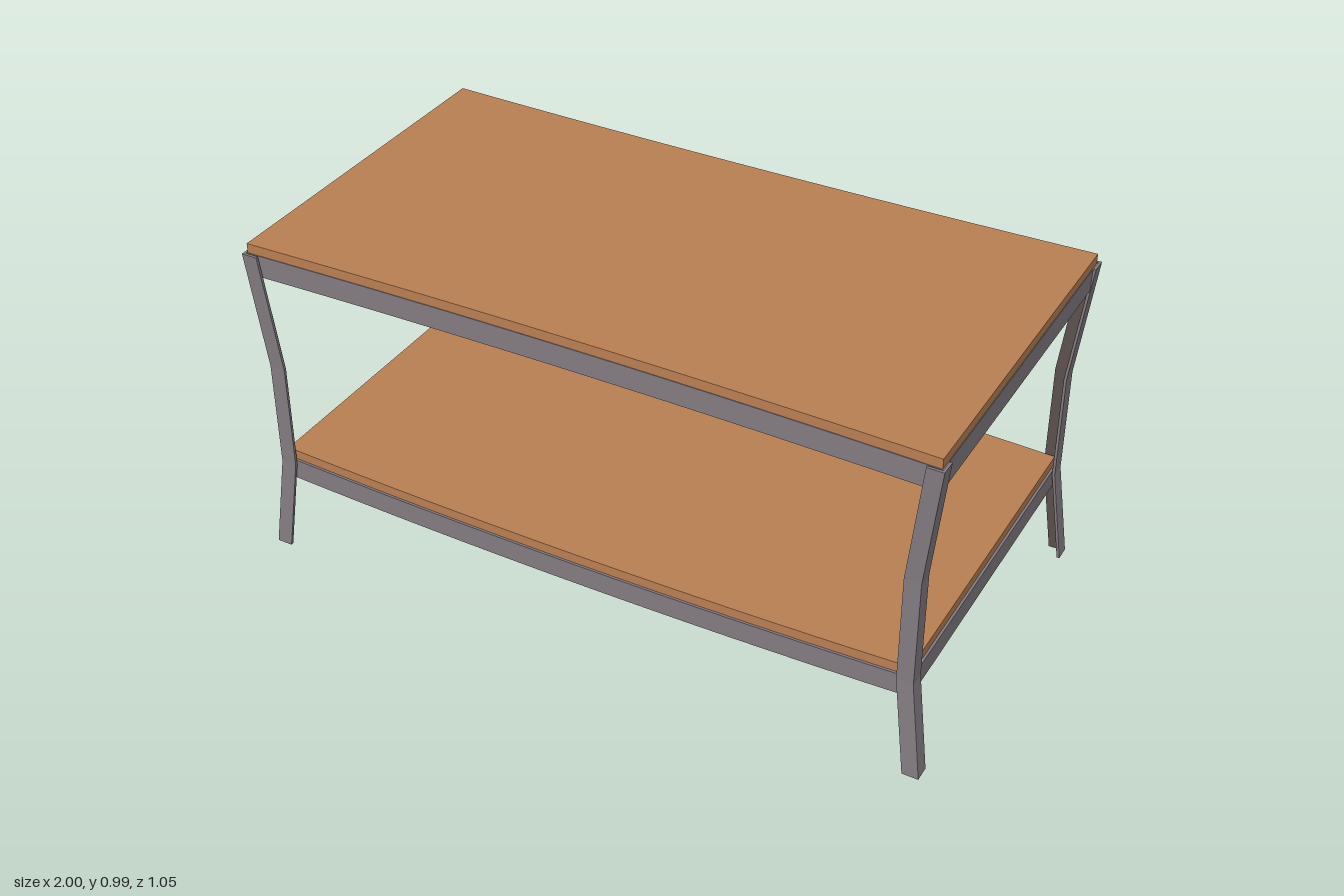
import * as THREE from 'three';

function material(name, color) {
  const m = new THREE.MeshStandardMaterial({ color });
  m.name = name;
  return m;
}
const wood = material('wood', 0xb97f52);
const steel = material('steel', 0x827b81);
const darkSteel = material('darkSteel', 0x5a504d);

const T = 0.008;      // steel thickness
const LIP = 0.004;    // thickness of the flange under the boards
const SKIN = 0.006;   // outer part of the leg steel, the rest is the darker inside
const FLANGE = 0.046; // width of the angle iron

// Shelf outline: straight ends, long sides bowed from endZ to midZ
function outline(halfX, endZ, midZ, inset = 0) {
  const pts = [];
  const n = 16;
  for (const s of [-1, 1]) {
    for (let i = 0; i <= n; i++) {
      const u = (i / n) * 2 - 1;
      const z = midZ + (endZ - midZ) * u * u - inset;
      pts.push(new THREE.Vector2(-s * u * (halfX - inset), s * z));
    }
  }
  return pts;
}

// Upright extrusion of a plan shape from y0 to y1
function slab(points, hole, y0, y1, steps = 1) {
  const shape = new THREE.Shape(points);
  if (hole) shape.holes.push(new THREE.Path(hole));
  const geo = new THREE.ExtrudeGeometry(shape, { depth: y1 - y0, steps, bevelEnabled: false });
  return geo.rotateX(-Math.PI / 2).translate(0, y0, 0);
}

function part(name, geo, mat) {
  const mesh = new THREE.Mesh(geo, mat);
  mesh.name = name;
  return mesh;
}

// Thick board set into an angle-iron tray, resting on the flange at its bottom
function shelf(name, { halfX, endZ, midZ, y0, y1, top, boardInset }) {
  const g = new THREE.Group();
  g.name = name;
  const ring = (inset) => outline(halfX, endZ, midZ, inset);
  g.add(
    part('frameWeb', slab(ring(0), ring(T), y0, y1), steel),
    part('frameFlange', slab(ring(T), ring(FLANGE), y0, y0 + LIP), darkSteel),
    part('board', slab(ring(boardInset), null, y0 + LIP, top), wood)
  );
  return g;
}

// Outer corner of a leg at each bend: y, x, z
const BENDS = [
  [0, 1.0, 0.526],
  [0.29, 0.96, 0.512],
  [0.61, 0.959, 0.512],
  [0.96, 0.996, 0.525],
];

// Bent L-shaped layer between the depths a and b behind the outer faces of a leg
function legLayer(sx, sz, a, b) {
  const L = [[a, a], [FLANGE, a], [FLANGE, b], [b, b], [b, FLANGE], [a, FLANGE]]
    .map(([x, z]) => new THREE.Vector2(-sx * x, sz * z));
  const geo = slab(L, null, 0, 3, 3);
  const p = geo.attributes.position;
  for (let i = 0; i < p.count; i++) {
    const [y, x, z] = BENDS[Math.round(p.getY(i))];
    p.setXYZ(i, p.getX(i) + sx * x, y, p.getZ(i) + sz * z);
  }
  geo.computeVertexNormals();
  return geo;
}

// Angle-iron leg at the corner given by the signs sx, sz
function leg(sx, sz) {
  const g = new THREE.Group();
  g.name = (sz > 0 ? 'front' : 'back') + (sx > 0 ? 'Left' : 'Right') + 'Leg';
  g.add(
    part('legOutside', legLayer(sx, sz, 0, SKIN), steel),
    part('legInside', legLayer(sx, sz, SKIN, T), darkSteel)
  );
  return g;
}

export function createModel() {
  const model = new THREE.Group();
  model.name = 'table';

  // Top curves inward along its long sides, the lower shelf outward
  model.add(
    shelf('tableTop', { halfX: 0.988, endZ: 0.515, midZ: 0.498, y0: 0.895, y1: 0.96, top: 0.988, boardInset: 0.002 }),
    shelf('lowerShelf', { halfX: 0.952, endZ: 0.503, midZ: 0.525, y0: 0.24, y1: 0.302, top: 0.33, boardInset: 0.007 })
  );

  for (const sx of [-1, 1]) for (const sz of [-1, 1]) model.add(leg(sx, sz));
  return model;
}
